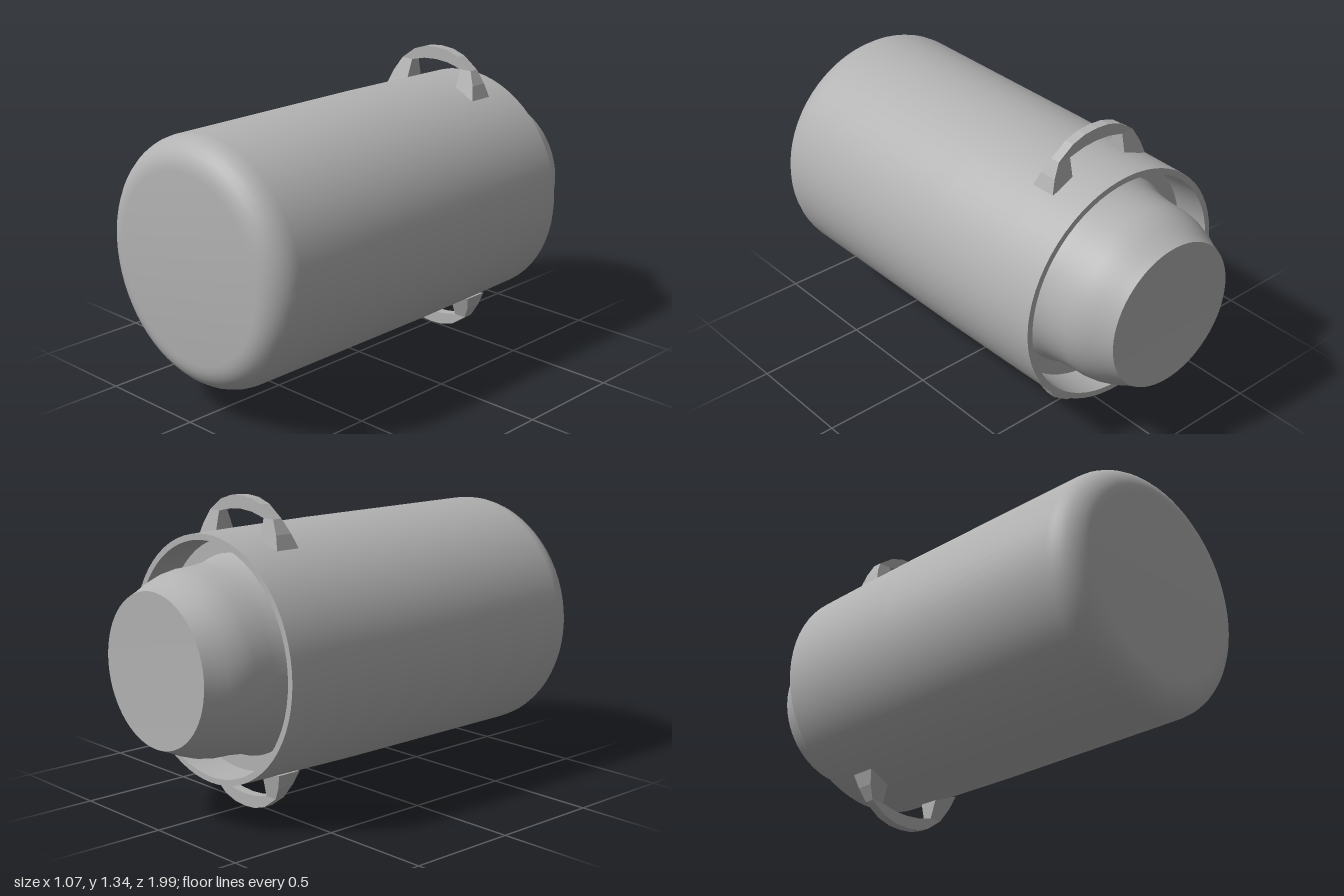
import * as THREE from 'three';
import { toCreasedNormals } from 'three/addons/utils/BufferGeometryUtils.js';

const AXIS_Y = 0.672;

export function createModel() {
  const model = new THREE.Group();
  model.name = 'canister';
  const grey = new THREE.MeshStandardMaterial({ color: 0xb2b2b2 });
  grey.name = 'grey';
  const greyFlat = grey;

  // Canister profile (radius, z): neck, recess behind the rim, shell, rounded front
  const profile = [
    [0, -0.995], [0.325, -1], [0.345, -0.95], [0.365, -0.91], [0.386, -0.85], [0.395, -0.8],
    [0.398, -0.72], [0.41, -0.62], [0.43, -0.57], [0.495, -0.57],
    [0.5, -0.725], [0.526, -0.725], [0.53, -0.5], [0.535, -0.1], [0.535, 0.86],
  ].map(([r, z]) => new THREE.Vector2(r, z));
  const steps = 7, fillet = 0.13;
  for (let i = 1; i <= steps; i++) {
    const a = (i / steps) * Math.PI / 2;
    profile.push(new THREE.Vector2(0.535 - fillet + fillet * Math.cos(a), 0.86 + fillet * Math.sin(a)));
  }
  profile.push(new THREE.Vector2(0, 0.994));
  const bodyGeo = new THREE.LatheGeometry(profile, 64);
  bodyGeo.rotateX(Math.PI / 2);
  const body = new THREE.Mesh(toCreasedNormals(bodyGeo, 0.6), grey);
  body.name = 'canisterBody';
  body.position.y = AXIS_Y;
  model.add(body);

  // Arched handle whose feet flare out along z
  const half = [[0.258, 0.47], [0.238, 0.53], [0.205, 0.59], [0.13, 0.643], [0.065, 0.664]];
  const inner = [[0.145, 0.5], [0.145, 0.59], [0.07, 0.608]];
  const mirror = (pts) => pts.map(([x, y]) => [-x, y]).reverse();
  const outline = [...half, [0, 0.669], ...mirror(half), ...mirror(inner).reverse(), [0, 0.613], ...inner.slice().reverse()];
  const shape = new THREE.Shape(outline.map(([x, y]) => new THREE.Vector2(x, y)));
  const handleGeo = new THREE.ExtrudeGeometry(shape, { depth: 2, bevelEnabled: false });
  handleGeo.translate(0, 0, -1);
  const pos = handleGeo.attributes.position;
  for (let i = 0; i < pos.count; i++) {
    const flare = Math.max(0, 0.59 - pos.getY(i)) / 0.12;
    pos.setZ(i, pos.getZ(i) * (0.022 + 0.035 * flare) - 0.523 + 0.01 * flare);
  }
  const handleFlat = toCreasedNormals(handleGeo, 0.1);
  for (const [name, turn] of [['topHandle', 0], ['bottomHandle', Math.PI]]) {
    const handle = new THREE.Mesh(handleFlat, greyFlat);
    handle.name = name;
    handle.position.y = AXIS_Y;
    handle.rotation.z = turn;
    model.add(handle);
  }
  return model;
}
